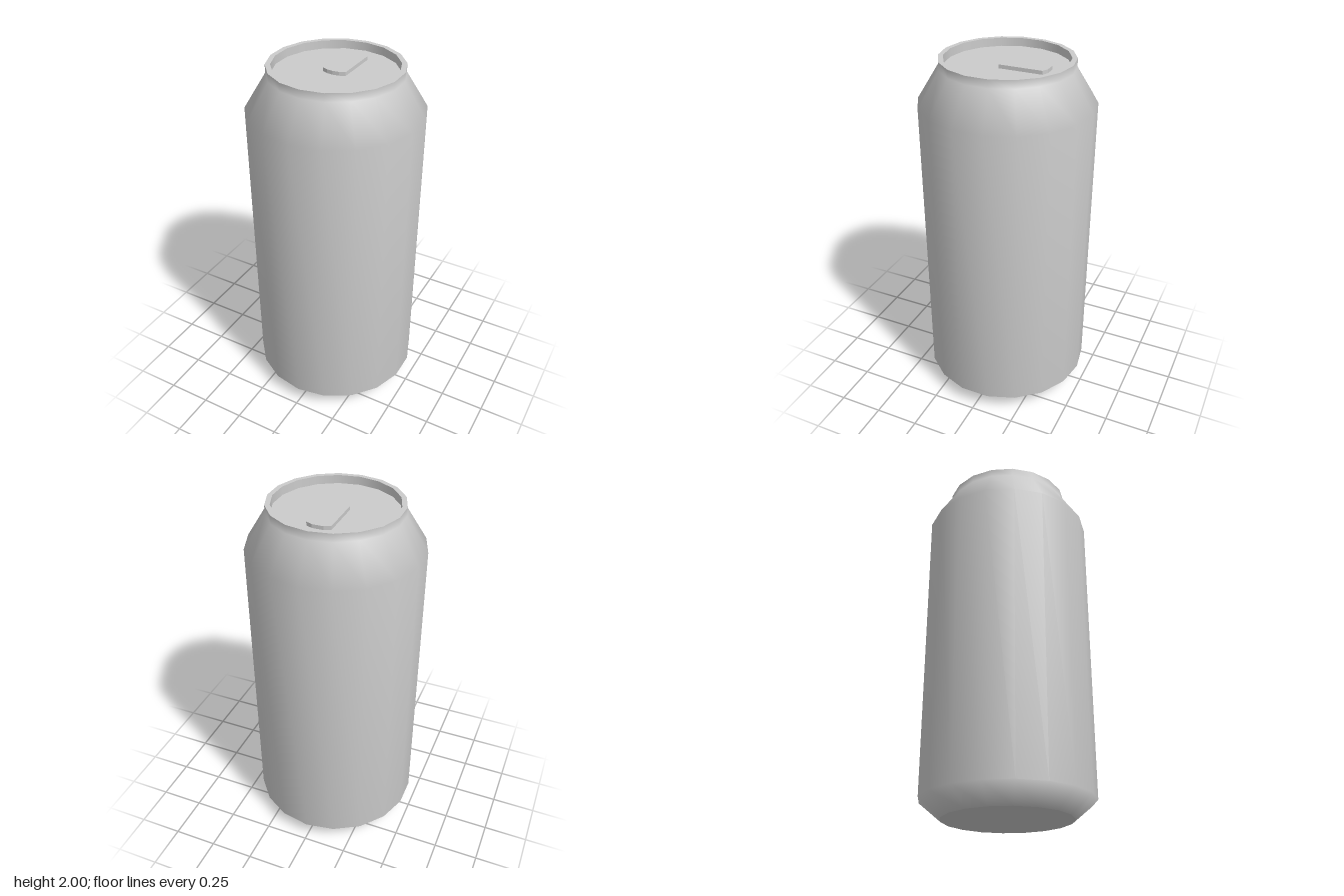
import * as THREE from 'three';

const SIDES = 18;

export function createModel() {
  const can = new THREE.Group();
  can.name = 'drinkCan';
  const material = new THREE.MeshStandardMaterial({ color: 0xcccccc });

  const add = (name, geometry) => {
    const mesh = new THREE.Mesh(geometry, material);
    mesh.name = name;
    can.add(mesh);
    return mesh;
  };
  // Each turned part is smooth within itself; edges between parts stay sharp
  const turned = (name, profile) =>
    add(name, new THREE.LatheGeometry(profile.map(([r, y]) => new THREE.Vector2(r, y)), SIDES));

  // Shallow hollow under the can
  turned('base', [[0, 0.03], [0.18, 0.023], [0.355, 0]]);

  // Bottom bevel, wall, shoulder and neck
  turned('body', [[0.355, 0], [0.475, 0.1], [0.475, 1.765], [0.357, 1.955], [0.357, 2]]);

  // Rim and recessed lid
  turned('rimTop', [[0.357, 2], [0.33, 2]]);
  turned('rimInside', [[0.33, 2], [0.33, 1.955]]);
  turned('lid', [[0.33, 1.955], [0, 1.955]]);

  // Pull tab: half outline mirrored in x, as [x, z]
  const half = [[0, 0.037], [0.035, 0.033], [0.065, 0.02], [0.065, -0.22], [0.03, -0.235]];
  const mirrored = half.slice(1).reverse().map(([x, z]) => [-x, z]);
  const outline = [...half, ...mirrored].map(([x, z]) => new THREE.Vector2(x, -z));
  const tab = new THREE.ExtrudeGeometry(new THREE.Shape(outline), { depth: 0.02, bevelEnabled: false });
  tab.rotateX(-Math.PI / 2);
  add('pullTab', tab).position.y = 1.955;

  return can;
}
